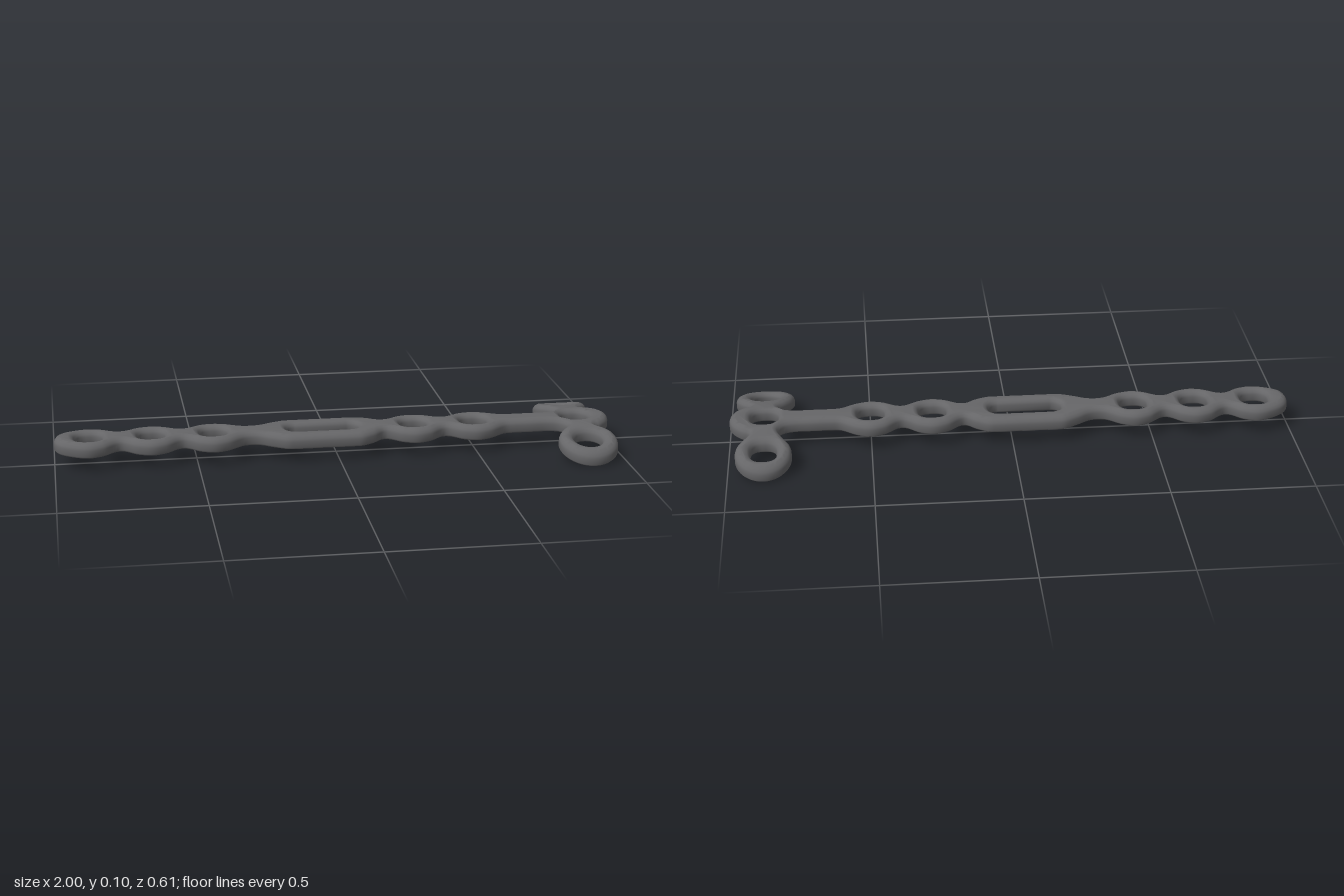
import * as THREE from 'three';

const V2 = (x, y) => new THREE.Vector2(x, y);
const RINGS = [-0.88, -0.66, -0.44, 0.28, 0.5]; // ring centres along the bar

// One side of the scalloped bar, left to right, as [x, half width]
function barSide() {
  const ring = c => [[c - 0.05, 0.087], [c, 0.1], [c + 0.05, 0.087], [c + 0.11, 0.05]];
  return [
    [-0.985, 0.05], ...ring(-0.88), ...ring(-0.66), ...ring(-0.44),
    [-0.285, 0.05], [-0.235, 0.077], [-0.185, 0.1], [-0.16, 0.102], [-0.05, 0.102], [0.06, 0.102],
    [0.085, 0.1], [0.13, 0.078], [0.17, 0.05],
    ...ring(0.28), ...ring(0.5), [0.64, 0.047], [0.7, 0.047], [0.77, 0.048],
  ];
}

// One cross arm: fillet, round eyelet, then the nose of the bar
function armSide(centre, radius) {
  const pts = [[0.808, 0.06], [0.826, 0.088]];
  for (let a = 220; a >= -40; a -= 20) {
    const t = THREE.MathUtils.degToRad(a);
    pts.push([0.876 + radius * Math.cos(t), centre + radius * Math.sin(t)]);
  }
  pts.push([0.927, 0.1], [0.95, 0.087], [0.985, 0.05]);
  return pts;
}

// Counter-clockwise smooth outline of the whole plate
function outline() {
  const front = [...barSide(), ...armSide(0.2, 0.105)].map(([x, s]) => [x, -s]);
  const back = [...barSide(), ...armSide(0.208, 0.098)].reverse();
  const pts = [[-1, 0], ...front, [0.998, 0], ...back].map(([x, s]) => new THREE.Vector3(x, s, 0));
  const curve = new THREE.CatmullRomCurve3(pts, true, 'centripetal');
  curve.arcLengthDivisions = 1500;
  return curve.getSpacedPoints(480).slice(0, -1).map(p => V2(p.x, p.y));
}

// Clockwise screw hole with softly squared sides; stretch turns it into a slot
function hole(x, s, r, power = 2.6, stretch = 0) {
  const pts = [], n = 40;
  const soft = v => Math.sign(v) * Math.abs(v) ** (2 / power);
  for (let i = 0; i < n; i++) {
    const a = -(i + 0.5) / n * Math.PI * 2;
    const c = Math.cos(a);
    pts.push(V2(x + r * soft(c) + Math.sign(c) * stretch, s + r * soft(Math.sin(a))));
  }
  return pts;
}

// Move a loop towards the solid side (left of its direction)
function inset(loop, d) {
  const n = loop.length;
  return loop.map((p, i) => {
    const t = loop[(i + 1) % n].clone().sub(loop[(i + n - 1) % n]).normalize();
    return V2(p.x - t.y * d, p.y + t.x * d);
  });
}

// Solid plate from stacked loops: crisp underside, rounded top edge, arched across z
function plateGeometry(loops) {
  const layers = [[0.006, 0], [0, 0.007], [0, 0.028], [0.003, 0.037], [0.01, 0.045], [0.021, 0.05]];
  const total = loops.reduce((sum, l) => sum + l.length, 0);
  const position = [], index = [];
  let topLoops;
  for (const [d, y] of layers) {
    topLoops = loops.map(l => inset(l, d));
    for (const p of topLoops.flat()) position.push(p.x, 0.058 + y - 0.59 * p.y * p.y, -p.y);
  }
  // side walls
  for (let k = 0; k < layers.length - 1; k++) {
    let start = 0;
    for (const l of loops) {
      for (let i = 0; i < l.length; i++) {
        const a = k * total + start + i, b = k * total + start + (i + 1) % l.length;
        index.push(a, b, b + total, a, b + total, a + total);
      }
      start += l.length;
    }
  }
  // top and underside
  const top = (layers.length - 1) * total;
  for (const [a, b, c] of THREE.ShapeUtils.triangulateShape(topLoops[0], topLoops.slice(1))) {
    index.push(top + a, top + b, top + c, a, c, b);
  }
  const geometry = new THREE.BufferGeometry();
  geometry.setAttribute('position', new THREE.Float32BufferAttribute(position, 3));
  geometry.setIndex(index);
  geometry.computeVertexNormals();
  return geometry;
}

export function createModel() {
  const group = new THREE.Group();
  group.name = 'bonePlate';
  const metal = new THREE.MeshStandardMaterial({ color: 0x666668 });
  metal.name = 'dark grey metal';

  const holes = [
    ...RINGS.map(x => hole(x, 0, 0.049)),
    hole(-0.05, 0, 0.042, 2.3, 0.088), // central slot
    hole(0.875, 0, 0.049),
    hole(0.875, 0.208, 0.046),
    hole(0.875, -0.2, 0.051, 2),
  ];
  const plate = new THREE.Mesh(plateGeometry([outline(), ...holes]), metal);
  plate.name = 'perforatedPlate';
  group.add(plate);
  return group;
}
